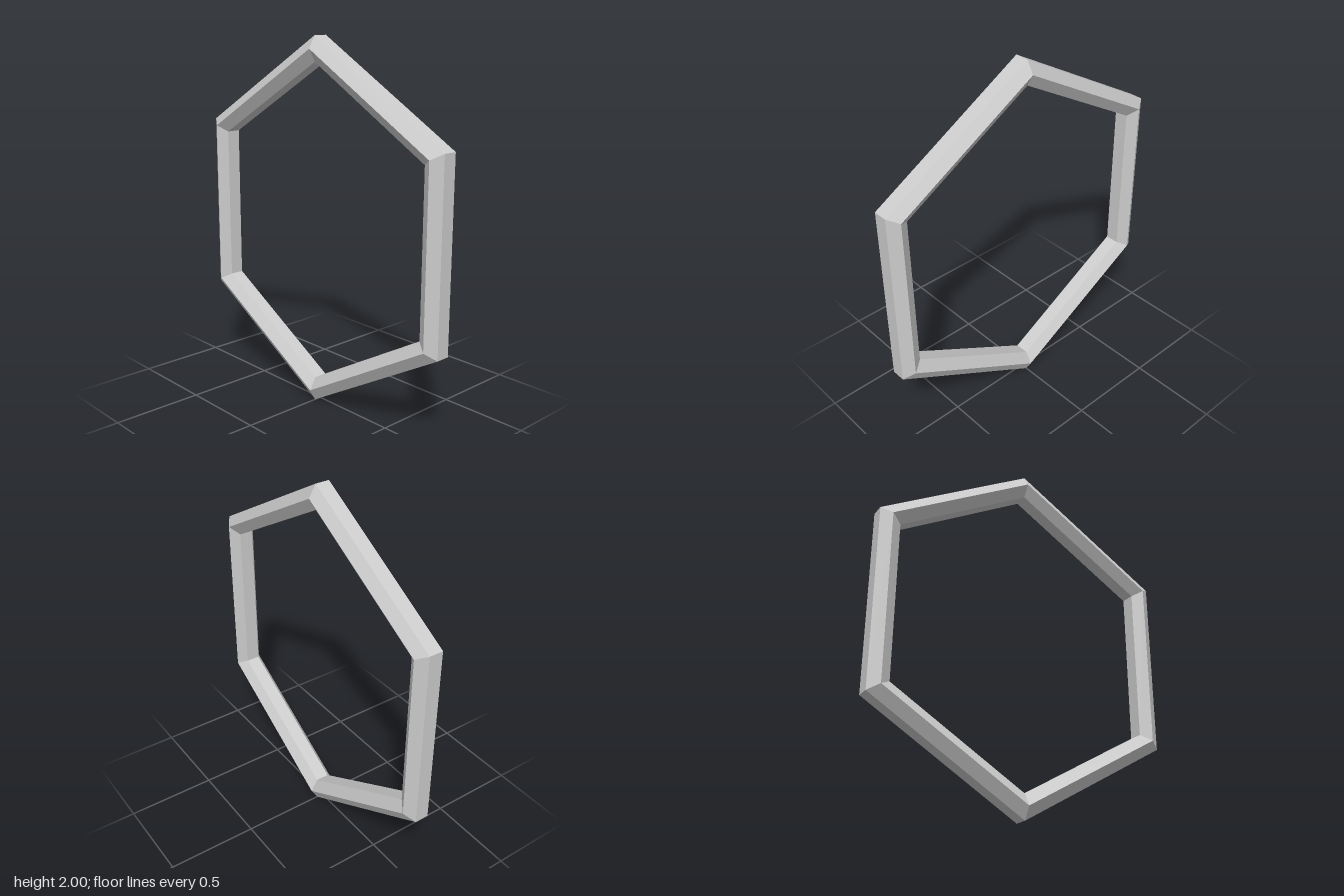
import * as THREE from 'three';

export function createModel() {
  const group = new THREE.Group();
  group.name = 'hexagonalRing';

  // Six-sided cross-section, flat on the outer and inner rims
  const tube = 0.077;
  const ringRadius = 1 - tube * Math.cos(Math.PI / 6);
  const profile = [];
  for (let i = 0; i <= 6; i++) {
    const a = Math.PI / 6 + (i % 6) * Math.PI / 3;
    profile.push(new THREE.Vector2(ringRadius + tube * Math.cos(a), tube * Math.sin(a)));
  }

  // Swept in six straight sides, then stood upright on a corner
  const geometry = new THREE.LatheGeometry(profile, 6);
  geometry.rotateX(Math.PI / 2);
  geometry.translate(0, 1, 0);

  const frame = new THREE.Mesh(
    geometry,
    new THREE.MeshStandardMaterial({ color: 0xcccccc, flatShading: true })
  );
  frame.name = 'hexagonFrame';
  group.add(frame);
  return group;
}
